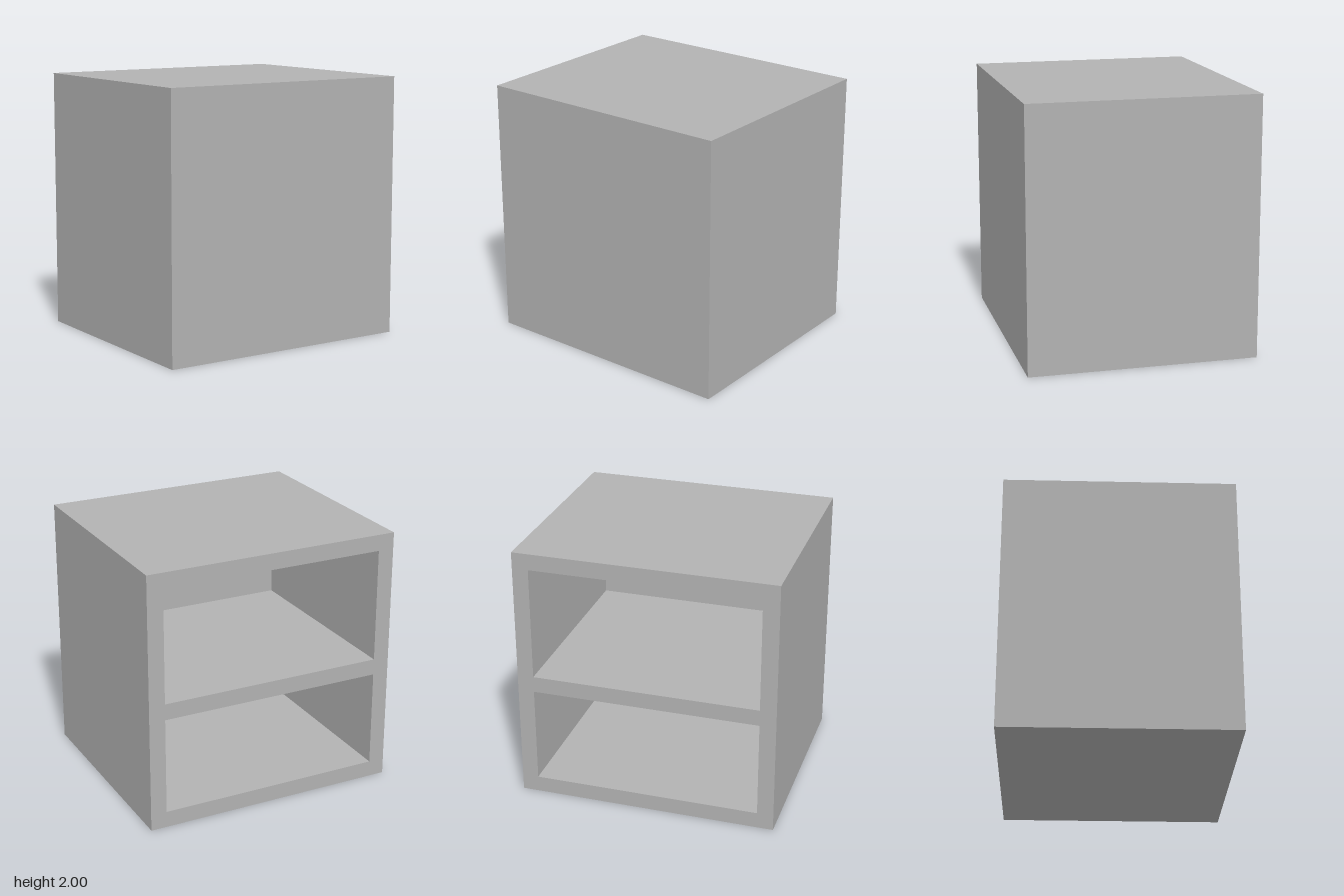
import * as THREE from 'three';

const W = 2, H = 2, D = 1.75, T = 0.125; // outer size and board thickness

export function createModel() {
  const group = new THREE.Group();
  group.name = 'cabinet';
  const grey = new THREE.MeshStandardMaterial({ color: 0xb2b2b2 });
  grey.name = 'plain grey';

  // Outer frame with two compartments, as one seamless extrusion along z
  const rect = (target, x0, y0, x1, y1) => {
    target.moveTo(x0, y0);
    target.lineTo(x1, y0);
    target.lineTo(x1, y1);
    target.lineTo(x0, y1);
    target.closePath();
    return target;
  };
  const inner = W / 2 - T;
  const outline = rect(new THREE.Shape(), -W / 2, 0, W / 2, H);
  for (const [bottom, top] of [[T, 0.875], [1, H - T]]) {
    outline.holes.push(rect(new THREE.Path(), -inner, bottom, inner, top));
  }
  const frameGeometry = new THREE.ExtrudeGeometry(outline, { depth: D - T, bevelEnabled: false });
  const frame = new THREE.Mesh(frameGeometry, grey);
  frame.name = 'frameWithShelf';
  frame.position.z = -D / 2;
  group.add(frame);

  // Closed front panel; the compartments open to the back
  const panel = new THREE.Mesh(new THREE.BoxGeometry(W, H, T), grey);
  panel.name = 'frontPanel';
  panel.position.set(0, H / 2, D / 2 - T / 2);
  group.add(panel);

  return group;
}
